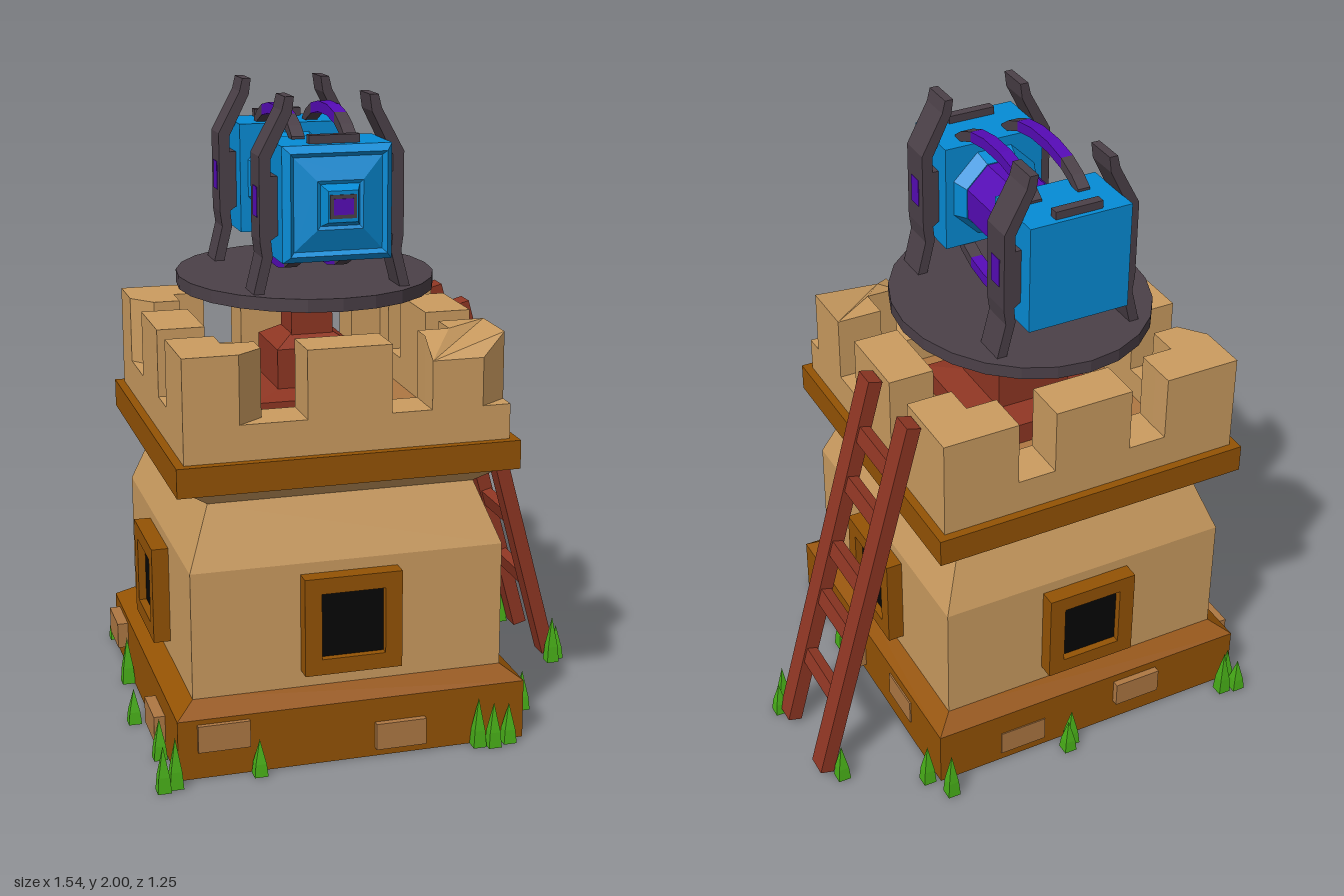
import * as THREE from 'three';

const mat = (name, color) => {
  const m = new THREE.MeshStandardMaterial({ color, flatShading: true });
  m.name = name;
  return m;
};

export function createModel() {
  const stone = mat('sandstone', 0xcb9c60), trim = mat('brownTrim', 0x945304);
  const brickMat = mat('brick', 0xae7843), wood = mat('redWood', 0x8f3623);
  const iron = mat('darkIron', 0x4b4048), blue = mat('blue', 0x058cd6);
  const purple = mat('purple', 0x560bb6), black = mat('black', 0x060606);
  const green = mat('grass', 0x48ae18);

  const model = new THREE.Group();
  model.name = 'cannonTower';
  const group = (name, parent) => {
    const g = new THREE.Group();
    g.name = name;
    parent.add(g);
    return g;
  };
  const add = (parent, name, geo, material, x = 0, y = 0, z = 0) => {
    const m = new THREE.Mesh(geo, material);
    m.name = name;
    m.position.set(x, y, z);
    parent.add(m);
    return m;
  };
  const box = (w, h, d) => new THREE.BoxGeometry(w, h, d);
  const vec = pts => pts.map(p => new THREE.Vector2(p[0], p[1]));
  const extrude = (shape, depth) => new THREE.ExtrudeGeometry(shape, { depth, bevelEnabled: false });
  const shapeOf = pts => new THREE.Shape(vec(pts));
  // square-sided lathe; profile is [half width, height]
  const square = pts => new THREE.LatheGeometry(vec(pts.map(([h, y]) => [h * Math.SQRT2, y])), 4, Math.PI / 4);
  // floor plan (x, z) extruded from y0 up to y1
  const plan = (shape, y0, y1) => extrude(shape, y1 - y0).rotateX(Math.PI / 2).translate(0, y1, 0);
  // side outline (z, y) extruded across x, centred
  const side = (pts, width) => extrude(shapeOf(pts), width).rotateY(-Math.PI / 2).translate(width / 2, 0, 0);

  // ---- Tower ----
  const tower = group('tower', model);
  tower.position.x = -0.145;
  add(tower, 'base', square([[0.51, 0], [0.55, 0], [0.55, 0.19], [0.485, 0.235]]), trim);
  add(tower, 'baseInside', square([[0.48, 0.35], [0.48, 0.02], [0.51, 0]]), stone);
  add(tower, 'innerLedge', square([[0.25, 0.35], [0.48, 0.35]]), trim);
  add(tower, 'innerWalls', square([[0.25, 0.8], [0.25, 0.35]]), stone);
  add(tower, 'ceiling', box(0.52, 0.02, 0.52), trim, 0, 0.8, 0);
  add(tower, 'walls', square([[0.49, 0.2], [0.49, 0.63], [0.418, 0.82], [0.5, 0.885]]), stone);
  add(tower, 'trimBand', square([[0.46, 0.88], [0.53, 0.88], [0.53, 0.97], [0.49, 0.97]]), trim);
  add(tower, 'roofFloor', box(0.74, 0.04, 0.74), brickMat, 0, 0.97, 0);

  // parapet with crenellations
  const O = 0.503, I = 0.355, A = 0.255, TOP = 1.29;
  const ring = shapeOf([[-O, -O], [O, -O], [O, O], [-O, O]]);
  ring.holes.push(new THREE.Path(vec([[-I, -I], [-I, I], [I, I], [I, -I]])));
  add(tower, 'parapet', plan(ring, 0.95, 1.08), stone);
  const corner = (outer, end) =>
    plan(shapeOf([...outer, ...end, [I, A], [I, I], [A, I], [A - 0.001, 0.43], [A, O]]), 1.08, TOP);
  const plainEnd = [[O, A]], chippedEnd = [[O, 0.335], [0.44, A]];
  // worn corner: the front top edge sags and the outer edge is cut off
  const wornCorner = corner([[0.415, O], [O, 0.44]], plainEnd);
  const p = wornCorner.attributes.position;
  for (let i = 0; i < p.count; i++)
    if (p.getZ(i) > 0.5 && p.getY(i) > 1.2) p.setY(i, 1.23);
  for (let i = 0; i < 4; i++) {
    const wall = group('wallSide', tower);
    wall.rotation.y = i * Math.PI / 2;
    add(wall, 'middleMerlon', box(0.26, TOP - 1.08, O - I), stone, 0, (TOP + 1.08) / 2, (O + I) / 2);
    add(wall, 'cornerMerlon', i === 0 ? wornCorner : corner([[O, O]], i > 1 ? chippedEnd : plainEnd), stone);
    // window
    const frame = shapeOf([[-0.153, 0.285], [0.153, 0.285], [0.153, 0.595], [-0.153, 0.595]]);
    frame.holes.push(new THREE.Path(vec([[-0.1, 0.335], [-0.1, 0.545], [0.1, 0.545], [0.1, 0.335]])));
    add(wall, 'windowFrame', extrude(frame, 0.06), trim, 0, 0, 0.483);
    add(wall, 'windowPane', box(0.21, 0.22, 0.008), black, 0, 0.44, 0.515);
  }

  // bricks set in the base: [side, offset along side, height, protrusion]
  [[0, -0.41, 0.132, 0.565], [0, 0.145, 0.07, 0.57], [1, -0.115, 0.07, 0.57], [1, 0.25, 0.115, 0.555],
    [2, 0.17, 0.12, 0.572], [2, -0.25, 0.07, 0.554], [3, -0.385, 0.13, 0.585], [3, 0.27, 0.08, 0.585]]
    .forEach(([s, x, y, out]) => {
      const g = group('baseBrick', tower);
      g.rotation.y = s * Math.PI / 2;
      add(g, 'brick', box(0.16, 0.085, 0.06), brickMat, x, y, out - 0.03);
    });

  // ---- Turret mount ----
  const turret = group('turret', model);
  turret.position.x = -0.145;
  add(turret, 'post', box(0.132, 0.42, 0.135), wood, 0, 1.18, 0.005);
  add(turret, 'postFoot', square([[0.22, 0.98], [0.22, 1.06], [0.125, 1.075], [0.125, 1.2], [0.06, 1.24]]), wood);
  const disc = add(turret, 'platform', new THREE.CylinderGeometry(1, 1, 0.04, 24), iron, 0, 1.4, -0.02);
  disc.scale.set(0.402, 1, 0.45);

  // ---- Cannon, along z ----
  const cannon = group('cannon', turret);
  cannon.position.set(0, 1.692, -0.005);
  const alongZ = geo => geo.rotateX(Math.PI / 2);
  add(cannon, 'frontHead', alongZ(square([[0, 0.16], [0.167, 0.16], [0.167, 0.37], [0.147, 0.393], [0.135, 0.38],
    [0.07, 0.405], [0.06, 0.4], [0.045, 0.434], [0, 0.434]])), blue).scale.y = 1.03;
  add(cannon, 'rearHead', alongZ(square([[0, -0.383], [0.167, -0.383], [0.167, -0.165], [0, -0.165]])), blue).scale.y = 1.03;
  add(cannon, 'muzzleRim', box(0.08, 0.07, 0.004), iron, 0, 0, 0.435);
  add(cannon, 'muzzleGem', box(0.06, 0.047, 0.006), purple, 0, 0, 0.437);
  const octagon = (r0, r1, len) =>
    alongZ(new THREE.CylinderGeometry(r1 * 1.082, r0 * 1.082, len, 8, 1, false, Math.PI / 8));
  add(cannon, 'barrel', octagon(0.117, 0.117, 0.28), purple);
  add(cannon, 'frontCollar', octagon(0.12, 0.142, 0.055), blue, 0, 0, 0.138);
  add(cannon, 'rearCollar', octagon(0.142, 0.12, 0.055), blue, 0, 0, -0.138);
  for (const z of [0.328, -0.352]) add(cannon, 'topBracket', box(0.155, 0.03, 0.03), iron, 0, 0.182, z);

  // curved conduits above and below the barrel
  const strip = pts => side([...pts, ...pts.map(([z, y]) => [z, y - 0.034]).reverse()], 0.04);
  const pipeEnd = strip([[0.135, 0.235], [0.2, 0.208], [0.24, 0.18]]);
  const pipeMiddle = strip([[-0.135, 0.235], [-0.05, 0.25], [0.05, 0.25], [0.135, 0.235]]);
  for (const x of [-0.08, 0.08]) {
    for (const turn of [0, Math.PI]) {
      const pipe = group('conduit', cannon);
      pipe.position.set(x, 0, -0.012);
      pipe.rotation.z = turn;
      add(pipe, 'conduitMiddle', pipeMiddle, purple);
      add(pipe, 'conduitEnd', pipeEnd, iron);
      add(pipe, 'conduitEnd', pipeEnd, iron).rotation.y = Math.PI;
    }
  }

  // bent iron arms holding the heads
  const armOutline = [[0.245, 1.41], [0.215, 1.53], [0.222, 1.58], [0.222, 1.83], [0.152, 1.96], [0.142, 2],
    [0.115, 2], [0.122, 1.95], [0.187, 1.82], [0.187, 1.77], [0.16, 1.77], [0.16, 1.6],
    [0.188, 1.58], [0.183, 1.53], [0.213, 1.41]];
  for (const s of [-1, 1]) {
    const arm = extrude(shapeOf(armOutline.map(([x, y]) => [s * x, y])), 0.106);
    for (const z of [0.258, -0.282]) {
      add(turret, 'supportArm', arm, iron, 0, 0, z - 0.053);
      add(turret, 'armLight', box(0.006, 0.09, 0.05), purple, s * 0.221, 1.692, z);
    }
  }

  // ---- Ladder ----
  const ladder = group('ladder', model);
  ladder.position.set(0.555, 0.648, -0.192);
  ladder.rotation.z = Math.atan2(0.335, 1.25);
  for (const z of [-0.136, 0.136]) add(ladder, 'ladderRail', box(0.047, 1.305, 0.072), wood, 0, 0, z);
  for (const y of [1.1, 0.925, 0.69, 0.51, 0.28])
    add(ladder, 'ladderRung', box(0.035, 0.055, 0.22), wood, 0, (y - 0.648) * 1.035, 0);

  // ---- Grass tufts ----
  const blade = square([[0, 0], [0.021, 0], [0.017, 0.05], [0, 0.145]]);
  [[-0.69, -0.61], [-0.64, -0.6], [-0.67, -0.575], [-0.06, -0.58], [-0.035, -0.605], [0.395, -0.61],
    [0.44, -0.525], [0.68, -0.385], [0.745, -0.01], [0.72, 0.015], [0.425, 0.195], [0.48, 0.35],
    [0.445, 0.37], [0.25, 0.57], [0.295, 0.585], [0.35, 0.57], [-0.45, 0.575], [-0.71, 0.585],
    [-0.75, 0.6], [-0.72, 0.38], [-0.75, 0.105], [-0.715, -0.215]].forEach(([x, z], i) => {
    add(model, 'grassBlade', blade, green, x, 0, z).scale.y = 0.8 + 0.1 * (i * 7 % 4);
  });

  return model;
}
